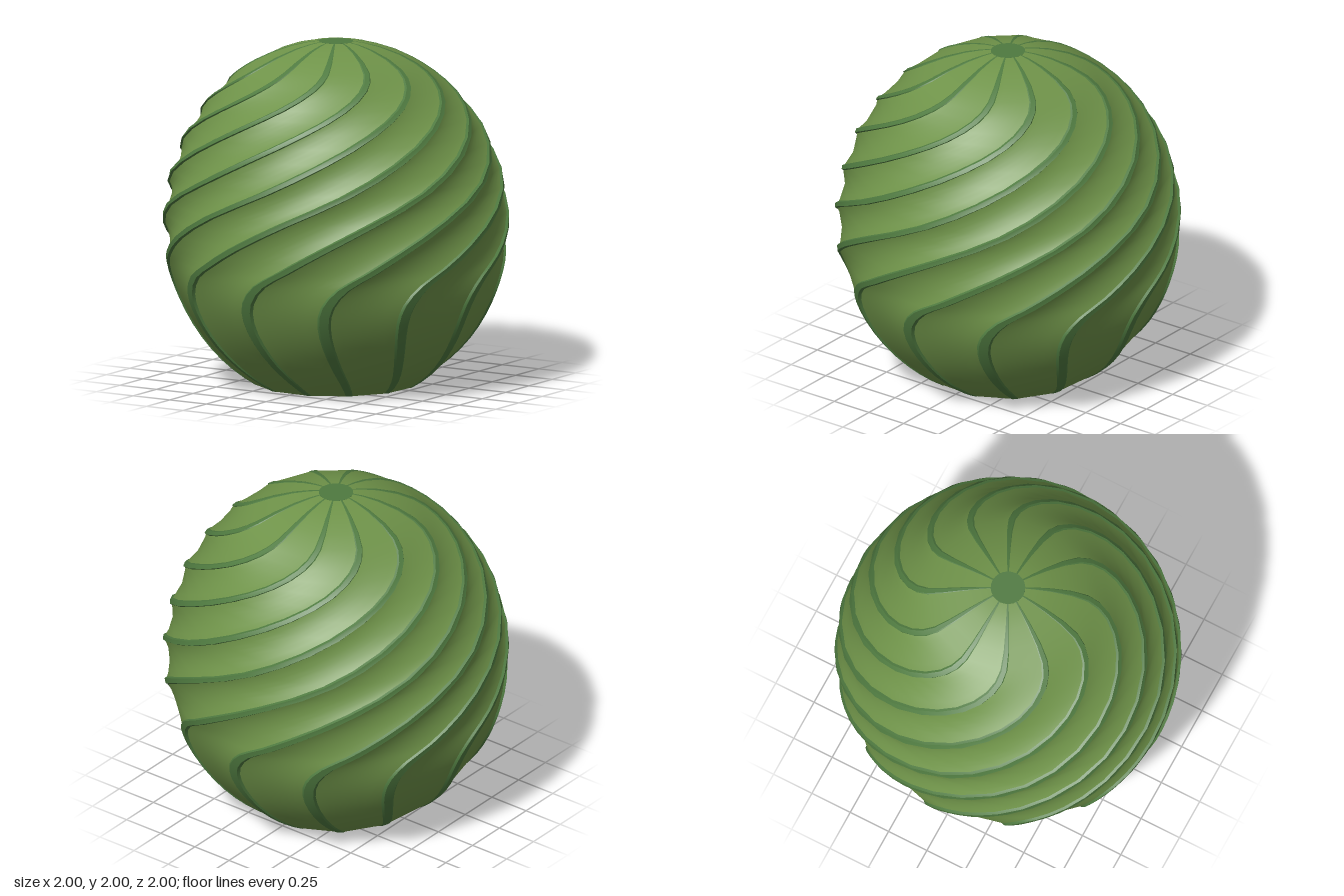
import * as THREE from 'three';
import { mergeGeometries } from 'three/addons/utils/BufferGeometryUtils.js';

const COUNT = 12;
const STEP = (Math.PI * 2) / COUNT;
const HALF_RIB = THREE.MathUtils.degToRad(2.5);   // half width of a rib at its foot
const HALF_CREST = THREE.MathUtils.degToRad(1.7); // half width of its flat crest
const INSET = 0.985;                              // body radius relative to the crest

// Swirl of one rib from top to bottom: height, angle in degrees
const SWIRL = [
  [2, 147], [1.97, 147], [1.88, 145], [1.8, 138], [1.7, 125], [1.58, 108],
  [1.42, 87], [1.25, 66], [1.08, 44], [0.92, 26], [0.8, 14], [0.71, 5],
  [0.6, -0.5], [0.48, -2], [0.34, -0.5], [0.2, 3], [0.09, 7.5], [0, 12],
];

// Outer radius of the globe at height y
const radiusAt = (y) => Math.sqrt(Math.max(0, 1 - ((y - 0.94) / 1.065) ** 2));

function swirlRows() {
  const curve = new THREE.SplineCurve(SWIRL.map(([y, a]) => new THREE.Vector2(THREE.MathUtils.degToRad(a), y)));
  return curve.getPoints((SWIRL.length - 1) * 2).map((p) => {
    const y = THREE.MathUtils.clamp(p.y, 0, 2);
    return { y, angle: p.x, r: radiusAt(y) };
  });
}

const polar = (r, angle, y) => new THREE.Vector3(r * Math.sin(angle), y, r * Math.cos(angle));

// Strip between two swirling edges, straight across at each height
function strip(rows, edgeA, edgeB, cols) {
  const pos = [], index = [];
  rows.forEach((row) => {
    const a = polar(row.r * edgeA.scale, row.angle + edgeA.offset, row.y);
    const b = polar(row.r * edgeB.scale, row.angle + edgeB.offset, row.y);
    for (let j = 0; j <= cols; j++) pos.push(...a.clone().lerp(b, j / cols).toArray());
  });
  const w = cols + 1;
  for (let i = 0; i < rows.length - 1; i++) {
    for (let j = 0; j < cols; j++) {
      const a = i * w + j, c = a + w;
      index.push(a, c, a + 1, a + 1, c, c + 1);
    }
  }
  const g = new THREE.BufferGeometry();
  g.setAttribute('position', new THREE.Float32BufferAttribute(pos, 3));
  g.setIndex(index);
  g.computeVertexNormals();
  return g;
}

export function createModel() {
  const group = new THREE.Group();
  const bodyMat = new THREE.MeshStandardMaterial({ color: 0x6f9349 });
  const ribMat = new THREE.MeshStandardMaterial({ color: 0x4f7a40 });
  const rows = swirlRows();

  const add = (name, geometry, material) => {
    const mesh = new THREE.Mesh(geometry, material);
    mesh.name = name;
    group.add(mesh);
    return mesh;
  };

  // Panel and raised rib, repeated around the axis
  const panel = strip(rows, { offset: HALF_RIB, scale: INSET }, { offset: STEP - HALF_RIB, scale: INSET }, 6);
  const profile = [
    { offset: -HALF_RIB, scale: INSET }, { offset: -HALF_CREST, scale: 1 },
    { offset: HALF_CREST, scale: 1 }, { offset: HALF_RIB, scale: INSET },
  ];
  const rib = mergeGeometries([0, 1, 2].map((k) => strip(rows, profile[k], profile[k + 1], 1)));
  for (let i = 0; i < COUNT; i++) {
    add('panel', panel, bodyMat).rotation.y = i * STEP;
    add('rib', rib, ribMat).rotation.y = i * STEP;
  }

  // Small cap on top
  const cap = new THREE.CylinderGeometry(0.1, 0.1, 0.006, 24);
  add('topCap', cap, ribMat).position.y = 1.997;

  // Flat base, its corners meeting the ribs
  const base = new THREE.CircleGeometry(rows[rows.length - 1].r, COUNT);
  base.rotateX(Math.PI / 2);
  add('base', base, bodyMat).rotation.y = rows[rows.length - 1].angle;

  return group;
}
